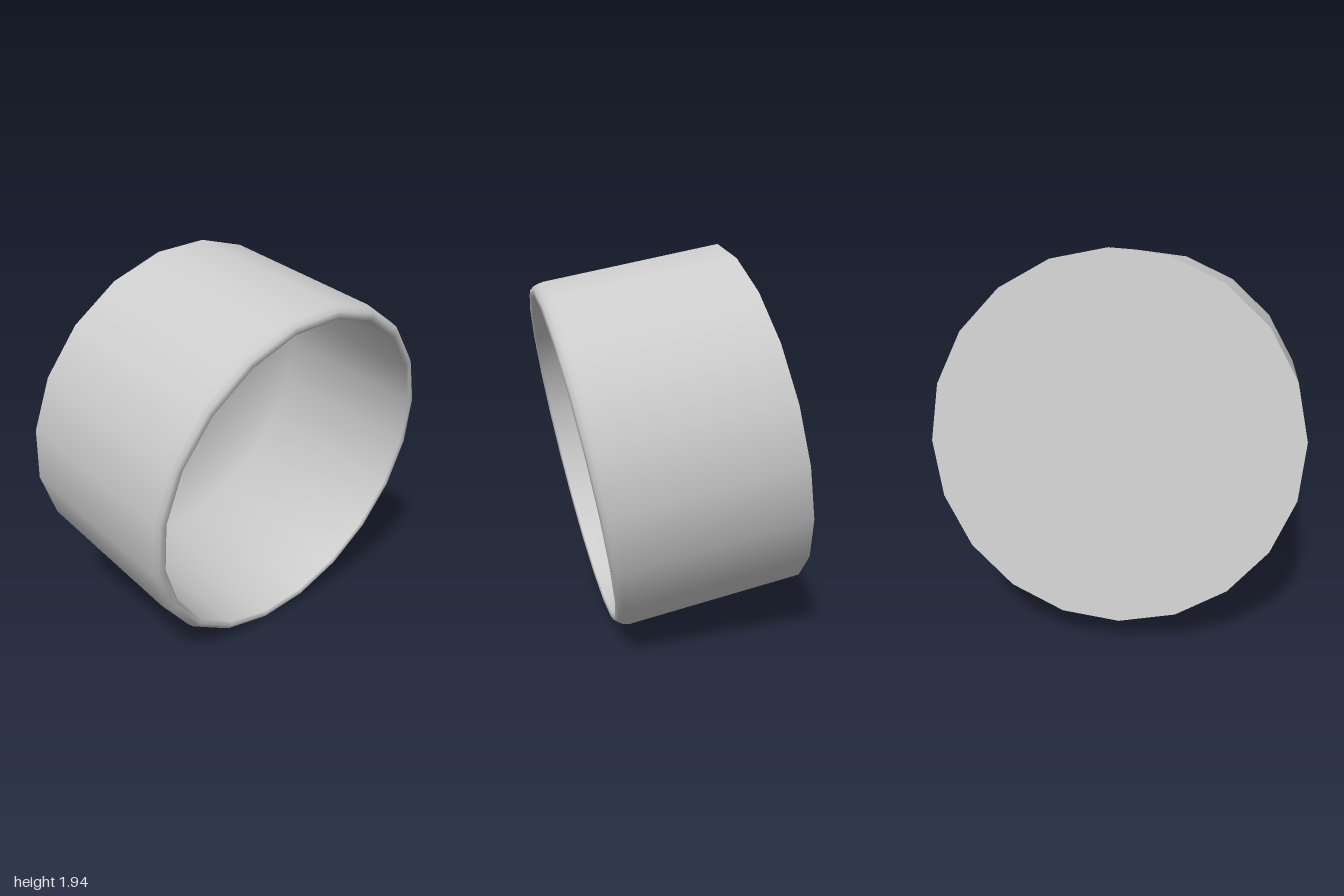
import * as THREE from 'three';

const SIDES = 20;
const R = 0.9;        // outer radius
const INNER = 0.837;  // radius of the hollow
const FLOOR = 0.06;   // thickness of the closed end

function lathe(name, points, material) {
  const profile = points.map(([r, y]) => new THREE.Vector2(r, y));
  const mesh = new THREE.Mesh(new THREE.LatheGeometry(profile, SIDES), material);
  mesh.name = name;
  return mesh;
}

export function createModel() {
  const material = new THREE.MeshStandardMaterial({ color: 0xcccccc });
  const cup = new THREE.Group();
  cup.name = 'cup';

  // Flat closed end
  cup.add(lathe('base', [[0, 0], [R, 0]], material));

  // Straight outer wall, rounded lip, straight inner wall and flat floor, smooth throughout
  cup.add(lathe('wallAndHollow', [
    [R, 0], [R, 0.89], [0.892, 0.92], [0.875, 0.942], [0.855, 0.95], [INNER, 0.94],
    [INNER, FLOOR], [0, FLOOR],
  ], material));

  // Tilt: the mouth faces +x, a little forward and down
  const axis = new THREE.Vector3(0.886, -0.193, 0.417).normalize();
  const side = new THREE.Vector3(0.38, -0.05, -0.815);
  const across = new THREE.Vector3().crossVectors(axis, side).normalize();
  side.crossVectors(across, axis);
  cup.quaternion.setFromRotationMatrix(new THREE.Matrix4().makeBasis(across, axis, side));
  cup.position.set(-0.415, 1.066, -0.185);

  const model = new THREE.Group();
  model.name = 'tiltedCup';
  model.add(cup);
  return model;
}
